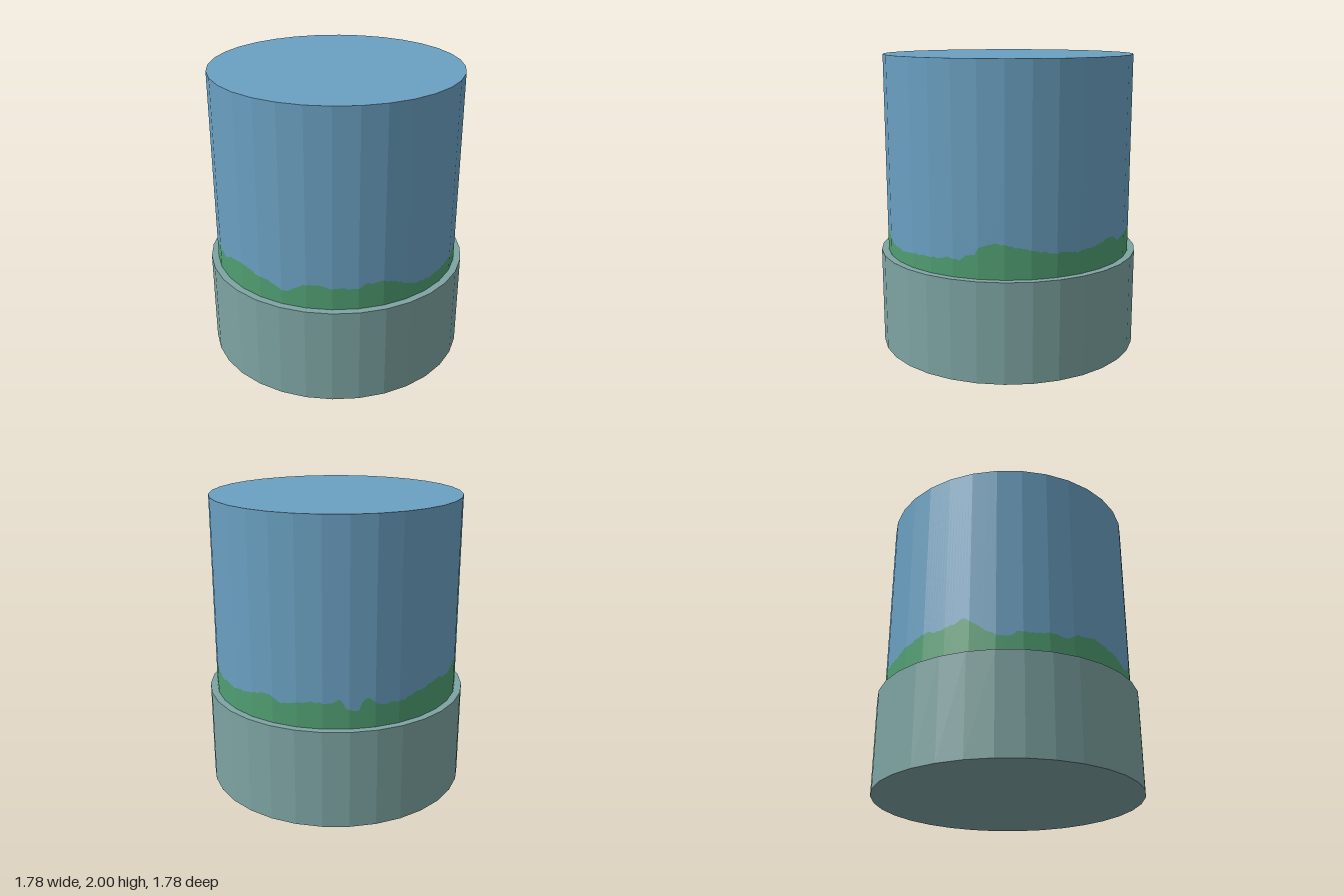
import * as THREE from 'three';

const SIDES = 32, STEPS = 8;
const BASE_R = 0.89, BODY_R = 0.842, LEDGE = 0.665, TOP = 2;

// Moss height around the wall: [degrees from the front towards +x, height]
const MOSS = [
  [0, .77], [3, .76], [6, .80], [10, .835], [14, .835], [21, .82], [28, .81], [35, .815], [37, .84], [45, .84],
  [51, .82], [57, .775], [62, .757], [69, .755], [73, .745], [77, .76], [90, .765], [100, .79], [104, .775],
  [106, .80], [111, .82], [113, .87], [118, .895], [123, .89], [131, .86], [138, .84], [146, .82], [158, .81],
  [171, .837], [178, .86], [183, .81], [188, .82], [197, .843], [205, .834], [210, .86], [213, .79], [218, .785],
  [220, .87], [223, .858], [227, .81], [239, .815], [244, .844], [255, .868], [260, .887], [267, .86], [274, .89],
  [279, .92], [285, .86], [290, .80], [298, .77], [301, .81], [309, .80], [314, .82], [323, .80], [328, .83],
  [335, .85], [340, .84], [346, .82], [353, .81], [357, .78], [360, .77],
];

function mossHeight(deg) {
  let i = 1;
  while (i < MOSS.length - 1 && MOSS[i][0] < deg) i++;
  const [a, ha] = MOSS[i - 1], [b, hb] = MOSS[i];
  return ha + (hb - ha) * (deg - a) / (b - a);
}

// Repeatable small offsets that make the moss edge ragged
function jitter(i) {
  const s = Math.sin(i * 127.1 + 3.7) * 43758.5453;
  return (s - Math.floor(s) - 0.5) * 0.014;
}

// Point k of the wall outline, lying on the flat faces of the prism
function outline(k) {
  const side = Math.floor(k / STEPS), t = (k % STEPS) / STEPS;
  const a = side * 2 * Math.PI / SIDES, b = (side + 1) * 2 * Math.PI / SIDES;
  return [
    BODY_R * (Math.sin(a) * (1 - t) + Math.sin(b) * t),
    BODY_R * (Math.cos(a) * (1 - t) + Math.cos(b) * t),
  ];
}

// Faceted wall between two height rules
function wall(low, high) {
  const pos = [], n = SIDES * STEPS;
  for (let k = 0; k < n; k++) {
    const j = (k + 1) % n;
    const [x0, z0] = outline(k), [x1, z1] = outline(j);
    const a = [x0, low(k), z0], b = [x1, low(j), z1];
    const c = [x1, high(j), z1], d = [x0, high(k), z0];
    pos.push(...a, ...b, ...c, ...a, ...c, ...d);
  }
  const g = new THREE.BufferGeometry();
  g.setAttribute('position', new THREE.Float32BufferAttribute(pos, 3));
  g.computeVertexNormals();
  return g;
}

export function createModel() {
  const group = new THREE.Group();
  const material = (name, color) => {
    const m = new THREE.MeshStandardMaterial({ color });
    m.name = name;
    return m;
  };
  const blue = material('blue', 0x6aa0c1);
  const stone = material('greyGreen', 0x7da4a2);
  const green = material('mossGreen', 0x509e72);
  const add = (name, geometry, mat) => {
    const mesh = new THREE.Mesh(geometry, mat);
    mesh.name = name;
    group.add(mesh);
    return mesh;
  };

  // Wide plinth with flat facets
  const plinth = new THREE.CylinderGeometry(BASE_R, BASE_R, LEDGE, SIDES).toNonIndexed();
  plinth.computeVertexNormals();
  add('base', plinth, stone).position.y = LEDGE / 2;

  // Column wall, split along the ragged moss line
  const edge = k => mossHeight(k * 360 / (SIDES * STEPS)) + jitter(k);
  add('mossBand', wall(() => LEDGE, edge), green);
  add('columnWall', wall(edge, () => TOP), blue);

  // Column lid
  const lid = add('columnTop', new THREE.CircleGeometry(BODY_R, SIDES).rotateX(-Math.PI / 2), blue);
  lid.position.y = TOP;

  return group;
}
